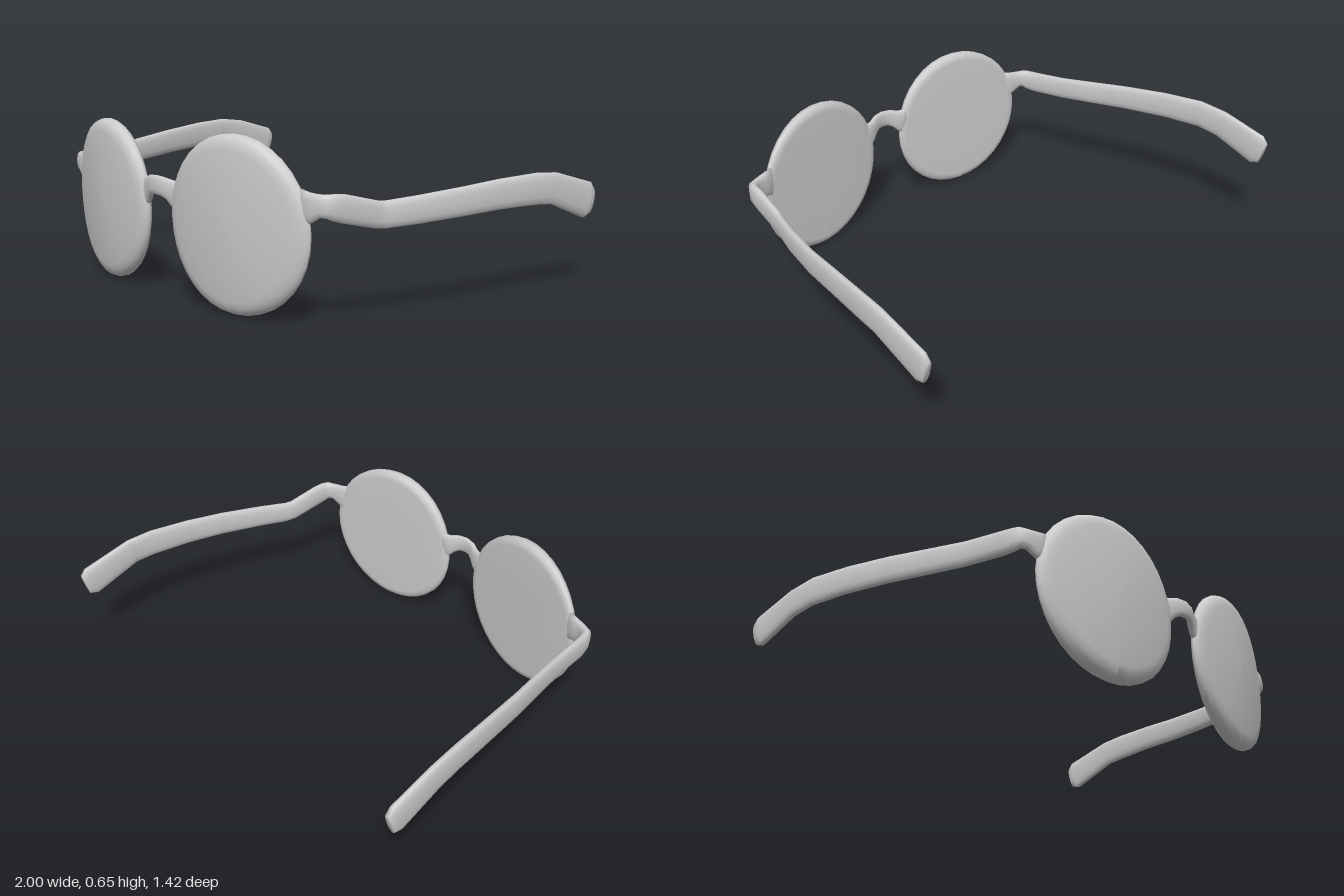
import * as THREE from 'three';

const frameGrey = new THREE.MeshStandardMaterial({ color: 0xcccccc });
frameGrey.name = 'frameGrey';

// Sweeps a rounded section along stations [x, y, z, halfThickness, halfHeight]
function sweep(name, stations, sides = 14) {
  const pts = stations.map(s => new THREE.Vector3(s[0], s[1], s[2]));
  const pos = [], idx = [], last = pts.length - 1;
  const round = v => Math.sign(v) * Math.abs(v) ** 0.8;
  pts.forEach((p, i) => {
    const t = pts[Math.min(i + 1, last)].clone().sub(pts[Math.max(i - 1, 0)]).normalize();
    const up = new THREE.Vector3(0, 1, 0).addScaledVector(t, -t.y).normalize();
    const side = up.clone().cross(t);
    for (let j = 0; j < sides; j++) {
      const a = j / sides * Math.PI * 2;
      const v = p.clone()
        .addScaledVector(side, round(Math.cos(a)) * stations[i][3])
        .addScaledVector(up, round(Math.sin(a)) * stations[i][4]);
      pos.push(v.x, v.y, v.z);
      if (i < last) {
        const k = (j + 1) % sides, r = i * sides, n = r + sides;
        idx.push(r + j, r + k, n + j, r + k, n + k, n + j);
      }
    }
  });
  // End caps
  const c = pos.length / 3, e = last * sides;
  pos.push(...pts[0].toArray(), ...pts[last].toArray());
  for (let j = 0; j < sides; j++) {
    const k = (j + 1) % sides;
    idx.push(c, k, j, c + 1, e + j, e + k);
  }
  const g = new THREE.BufferGeometry();
  g.setAttribute('position', new THREE.Float32BufferAttribute(pos, 3));
  g.setIndex(idx);
  g.computeVertexNormals();
  const mesh = new THREE.Mesh(g, frameGrey);
  mesh.name = name;
  return mesh;
}

// Round lens: a lathed disc bent so that it wraps back towards the temple
function lens(name, side) {
  const profile = [
    [0, 0], [0.5, 0], [0.9, 0], [0.97, 0.08], [1, 0.3], [1, 0.55],
    [0.975, 0.8], [0.92, 0.95], [0.84, 1], [0.6, 1], [0.3, 1], [0, 1],
  ].map(p => new THREE.Vector2(p[0], p[1]));
  const g = new THREE.LatheGeometry(profile, 36);
  g.rotateX(Math.PI / 2);
  const p = g.attributes.position;
  for (let i = 0; i < p.count; i++) {
    const x = p.getX(i), y = p.getY(i), t = p.getZ(i);
    const s = x * side; // -1 at the nose, 1 at the temple
    const back = 0.604 - 0.047 * s;
    const front = 0.69 - 0.05 * s - 0.05 * s * s - 0.02 * y * y;
    p.setXYZ(i, side * 0.405 + x * 0.325, 0.325 + y * 0.325,
      back + (front - back) * t + 0.006 * y);
  }
  g.computeVertexNormals();
  const mesh = new THREE.Mesh(g, frameGrey);
  mesh.name = name;
  return mesh;
}

export function createModel() {
  const model = new THREE.Group();
  model.name = 'glasses';

  model.add(lens('leftLens', 1), lens('rightLens', -1));

  // Arched nose bridge, flared where it joins the lenses
  const half = [
    [0.12, 0.395, 0.665, 0.016, 0.07], [0.09, 0.403, 0.668, 0.016, 0.052],
    [0.065, 0.416, 0.675, 0.015, 0.04], [0.035, 0.427, 0.688, 0.014, 0.037],
  ];
  const mirrored = half.map(([x, ...rest]) => [-x, ...rest]);
  model.add(sweep('bridge',
    [...mirrored, [0, 0.43, 0.692, 0.014, 0.037], ...half.slice().reverse()]));

  // Hinge shared by both arms: leaves the lens edge and turns backwards
  const hinge = [
    [0.69, 0.42, 0.575, 0.016, 0.065], [0.73, 0.424, 0.571, 0.017, 0.052],
    [0.762, 0.432, 0.562, 0.018, 0.04], [0.788, 0.432, 0.55, 0.02, 0.041],
    [0.798, 0.428, 0.53, 0.02, 0.046],
  ];
  model.add(sweep('leftArm', [
    ...hinge,
    [0.803, 0.42, 0.49, 0.019, 0.05], [0.818, 0.386, 0.35, 0.018, 0.049],
    [0.828, 0.383, 0.31, 0.018, 0.049], [0.867, 0.391, 0.19, 0.018, 0.051],
    [0.915, 0.405, 0, 0.018, 0.054], [0.943, 0.416, -0.17, 0.018, 0.057],
    [0.968, 0.419, -0.35, 0.018, 0.061], [0.975, 0.412, -0.45, 0.018, 0.062],
    [0.981, 0.345, -0.665, 0.018, 0.073], [0.982, 0.337, -0.695, 0.016, 0.052],
  ]));
  model.add(sweep('rightArm', [
    ...hinge.map(([x, ...rest]) => [-x, ...rest]),
    [-0.808, 0.425, 0.49, 0.019, 0.049], [-0.832, 0.436, 0.33, 0.018, 0.05],
    [-0.859, 0.449, 0.2, 0.018, 0.052], [-0.904, 0.468, 0, 0.018, 0.055],
    [-0.94, 0.484, -0.2, 0.018, 0.058], [-0.965, 0.489, -0.37, 0.018, 0.061],
    [-0.974, 0.474, -0.48, 0.018, 0.063],
    [-0.981, 0.413, -0.665, 0.018, 0.073], [-0.982, 0.404, -0.695, 0.016, 0.052],
  ]));
  return model;
}
